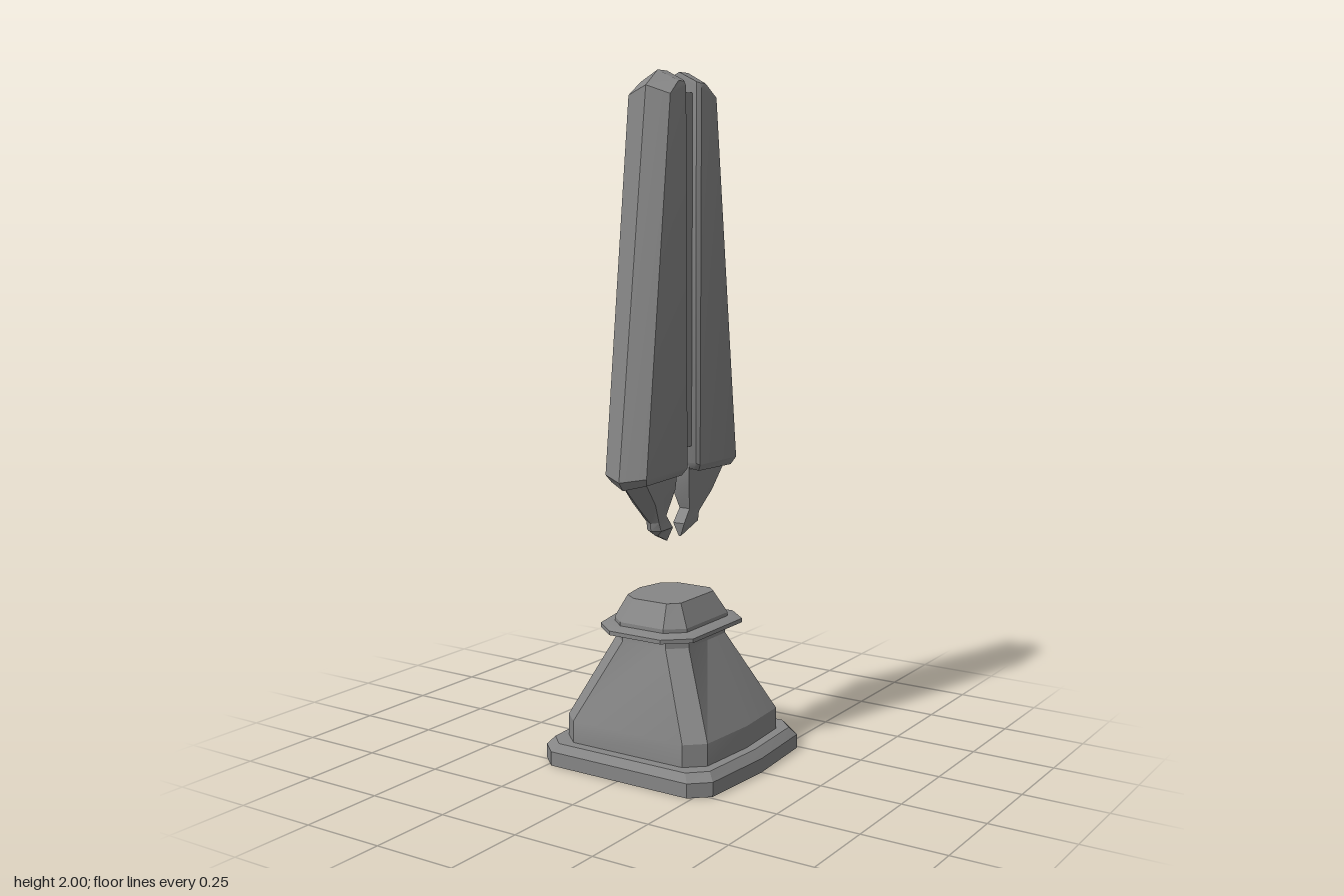
import * as THREE from 'three';
import { toCreasedNormals } from 'three/addons/utils/BufferGeometryUtils.js';

const material = new THREE.MeshStandardMaterial({ color: 0x868686 });

const centre = (ring) => [0, 1, 2].map((k) => ring.reduce((s, p) => s + p[k], 0) / ring.length);

// Closed solid through rings listed bottom to top (each counter-clockwise from above)
function loft(name, rings, high = centre(rings[rings.length - 1])) {
  const pos = [];
  const tri = (...pts) => pts.forEach((p) => pos.push(...p));
  const n = rings[0].length;
  const last = rings[rings.length - 1];
  const low = centre(rings[0]);
  for (let i = 0; i < n; i++) {
    const j = (i + 1) % n;
    for (let r = 0; r < rings.length - 1; r++) {
      const [a, b, c, d] = [rings[r][i], rings[r][j], rings[r + 1][j], rings[r + 1][i]];
      tri(a, b, c);
      tri(a, c, d);
    }
    tri(low, rings[0][j], rings[0][i]);
    tri(high, last[i], last[j]);
  }
  const g = new THREE.BufferGeometry();
  g.setAttribute('position', new THREE.Float32BufferAttribute(pos, 3));
  const mesh = new THREE.Mesh(toCreasedNormals(g, 0.5), material);
  mesh.name = name;
  return mesh;
}

// Ten-sided outline: right = [middle, side, corner] x, left the same, zs/zm = side and corner depth
function outline(y, right, left, zs, zm) {
  const half = [
    [right[1], y, -zs], [right[2], y, -zm],
    [-left[2], y, -zm], [-left[1], y, -zs],
  ];
  const front = half.map(([x, h, z]) => [x, h, -z]).reverse();
  return [[right[0], y, 0], ...half, [-left[0], y, 0], ...front];
}
const even = (y, x, zs, zm) => outline(y, x, x, zs, zm);

// Ring symmetric in x: outer ridge first, then +x points, the inner middle, and mirrored points
function bladeRing(ridge, side, inner, edge, mid) {
  const right = [side, inner, edge];
  return [ridge, ...right, mid, ...right.map(([x, y, z]) => [-x, y, z]).reverse()];
}

// One half of the tall pair, facing +z
function makeHalf(name) {
  const half = new THREE.Group();
  half.name = name;
  half.add(loft('blade', [
    bladeRing([0, 0.835, 0.255], [0.06, 0.85, 0.225], [0.06, 0.855, 0.045], [0.05, 0.86, 0.035], [0, 0.86, 0.035]),
    bladeRing([0, 0.86, 0.274], [0.07, 0.872, 0.24], [0.072, 0.875, 0.034], [0.064, 0.88, 0.025], [0, 0.88, 0.025]),
    bladeRing([0, 1.955, 0.137], [0.07, 1.93, 0.12], [0.07, 1.955, 0.04], [0.06, 1.96, 0.028], [0, 1.985, 0.028]),
    bladeRing([0, 2, 0.078], [0.064, 1.968, 0.07], [0.064, 1.968, 0.042], [0.058, 1.971, 0.033], [0, 2, 0.031]),
  ], [0, 2, 0.052]));

  // Hooked prong: [half width, outer z, outer y, inner z, inner y], tip first
  const prong = [
    [0.004, 0.1, 0.683, 0.036, 0.655],
    [0.024, 0.116, 0.695, 0.03, 0.695],
    [0.022, 0.118, 0.718, 0.062, 0.735],
    [0.04, 0.18, 0.775, 0.036, 0.81],
    [0.045, 0.25, 0.845, 0.03, 0.87],
  ].map(([w, oz, oy, iz, iy]) => {
    const sz = oz + (iz - oz) * 0.2, sy = oy + (iy - oy) * 0.2;
    return [[0, oy, oz], [w, sy, sz], [w * 0.8, iy, iz], [-w * 0.8, iy, iz], [-w, sy, sz]];
  });
  half.add(loft('prong', prong));
  return half;
}

export function createModel() {
  const model = new THREE.Group();
  model.name = 'pedestalWithFloatingBlades';

  // Pedestal
  const pedestal = new THREE.Group();
  pedestal.name = 'pedestal';
  pedestal.add(loft('plinth', [
    even(0, [0.307, 0.29, 0.236], 0.24, 0.29),
    even(0.042, [0.307, 0.29, 0.236], 0.24, 0.29),
    even(0.065, [0.284, 0.27, 0.22], 0.224, 0.273),
  ]));
  pedestal.add(loft('body', [
    even(0.06, [0.257, 0.243, 0.19], 0.193, 0.242),
    even(0.13, [0.257, 0.243, 0.19], 0.193, 0.242),
    outline(0.365, [0.12, 0.12, 0.07], [0.148, 0.134, 0.08], 0.1, 0.146),
    outline(0.4, [0.12, 0.12, 0.07], [0.148, 0.134, 0.08], 0.1, 0.146),
  ]));
  pedestal.add(loft('collar', [
    outline(0.388, [0.13, 0.13, 0.075], [0.165, 0.14, 0.08], 0.115, 0.168),
    outline(0.394, [0.157, 0.157, 0.086], [0.195, 0.166, 0.09], 0.135, 0.198),
    outline(0.406, [0.157, 0.157, 0.086], [0.195, 0.166, 0.09], 0.135, 0.198),
    outline(0.414, [0.13, 0.13, 0.075], [0.165, 0.14, 0.08], 0.115, 0.168),
  ]));
  pedestal.add(loft('cap', [
    outline(0.405, [0.121, 0.121, 0.07], [0.157, 0.132, 0.08], 0.112, 0.158),
    outline(0.425, [0.121, 0.121, 0.07], [0.157, 0.132, 0.08], 0.112, 0.158),
    outline(0.49, [0.085, 0.085, 0.055], [0.121, 0.102, 0.06], 0.088, 0.118),
  ]));
  model.add(pedestal);

  // Two mirrored halves floating above, joined by a narrow core
  const front = makeHalf('frontHalf');
  const back = makeHalf('backHalf');
  back.rotation.y = Math.PI;
  const core = new THREE.Mesh(new THREE.BoxGeometry(0.096, 1.01, 0.07), material);
  core.name = 'core';
  core.position.y = 1.435;
  model.add(front, back, core);
  return model;
}
